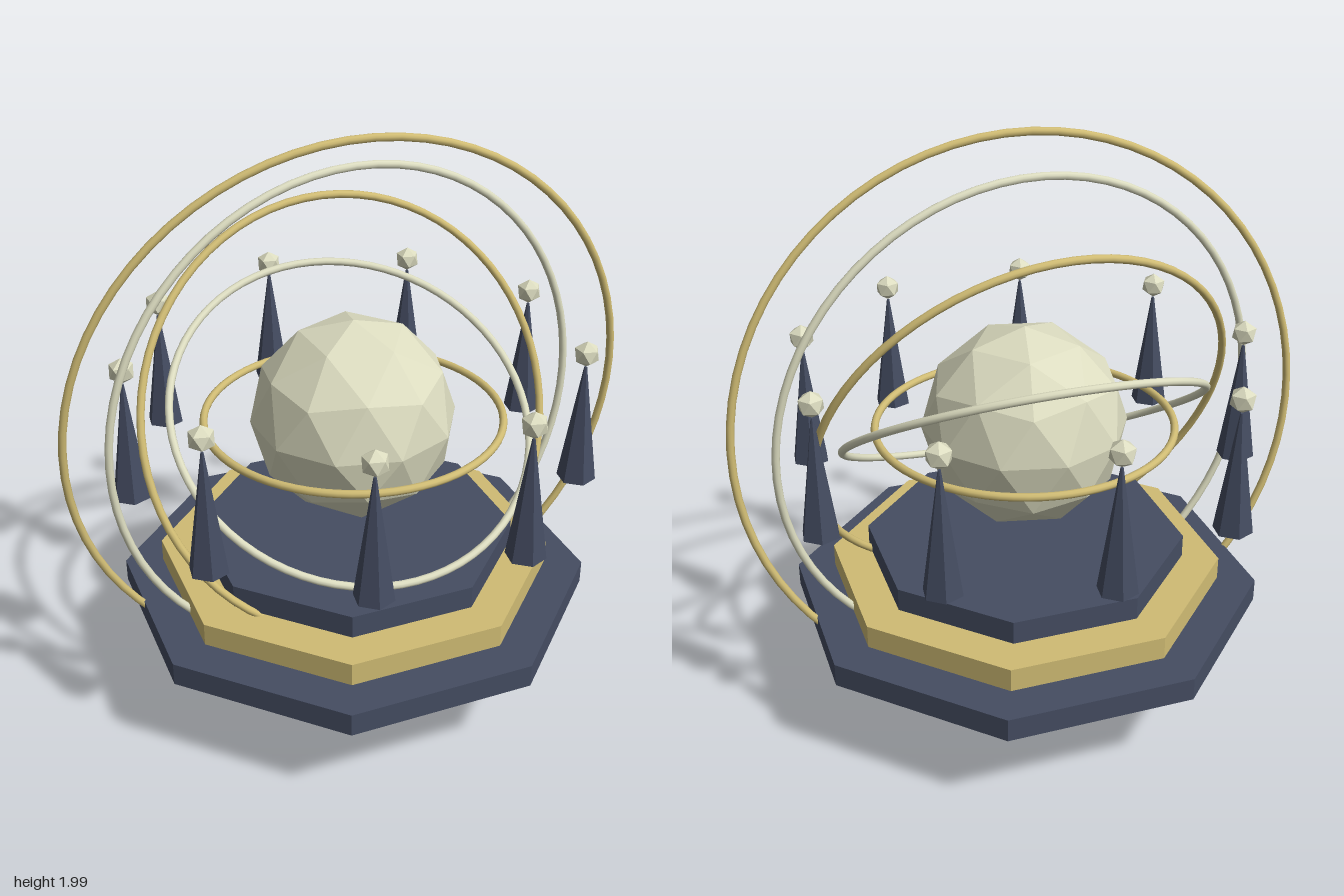
import * as THREE from 'three';

export function createModel() {
  const model = new THREE.Group();
  model.name = 'armillarySphere';

  const material = (color, flatShading = true) => new THREE.MeshStandardMaterial({ color, flatShading });
  const navy = material(0x454d62);
  const gold = material(0xd0bc74);
  const pale = material(0xdcdcc0);
  const goldSmooth = material(0xd0bc74, false);
  const paleSmooth = material(0xdcdcc0, false);

  function add(parent, name, geometry, mat, x = 0, y = 0, z = 0) {
    const mesh = new THREE.Mesh(geometry, mat);
    mesh.name = name;
    mesh.position.set(x, y, z);
    parent.add(mesh);
    return mesh;
  }

  // Faceted ball with one vertex pointing straight up
  const facetedBall = (radius, detail) =>
    new THREE.IcosahedronGeometry(radius, detail).rotateZ(-Math.atan(2 / (1 + Math.sqrt(5))));

  // Stepped octagonal base
  const base = new THREE.Group();
  base.name = 'steppedBase';
  model.add(base);
  [[0.825, navy], [0.69, gold], [0.56, navy]].forEach(([r, mat], i) => {
    add(base, `baseTier${i + 1}`, new THREE.CylinderGeometry(r, r, 0.081, 8), mat, 0, 0.352 + i * 0.088, 0);
  });

  // Central globe
  add(model, 'globe', facetedBall(0.353, 1), pale, 0, 1.003, 0);

  // Nested rings: radius, axis, material
  const rings = new THREE.Group();
  rings.name = 'rings';
  model.add(rings);
  const zAxis = new THREE.Vector3(0, 0, 1);
  [
    [0.509, [0, 1, 0], goldSmooth],
    [0.626, [0.52, 0.827, 0.22], paleSmooth],
    [0.746, [0.871, 0.408, 0.27], goldSmooth],
    [0.866, [0.956, 0.036, 0.29], paleSmooth],
    [0.987, [0.912, -0.067, 0.405], goldSmooth],
  ].forEach(([r, axis, mat], i) => {
    const ring = add(rings, `ring${i + 1}`, new THREE.TorusGeometry(r, 0.0135, 10, 72), mat, 0, 1.002, 0);
    ring.quaternion.setFromUnitVectors(zAxis, new THREE.Vector3(...axis).normalize());
  });

  // Circle of floating spires, each topped with a small ball
  const spireGeometry = new THREE.CylinderGeometry(0.005, 0.066, 0.42, 6);
  const finialGeometry = facetedBall(0.045, 0);
  for (let i = 0; i < 9; i++) {
    const a = (i / 9) * Math.PI * 2;
    const spire = new THREE.Group();
    spire.name = `spire${i + 1}`;
    spire.position.set(0.766 * Math.cos(a), 0, 0.766 * Math.sin(a));
    add(spire, 'spireCone', spireGeometry, navy, 0, 1.01, 0);
    add(spire, 'spireBall', finialGeometry, pale, 0, 1.267, 0);
    model.add(spire);
  }

  return model;
}
